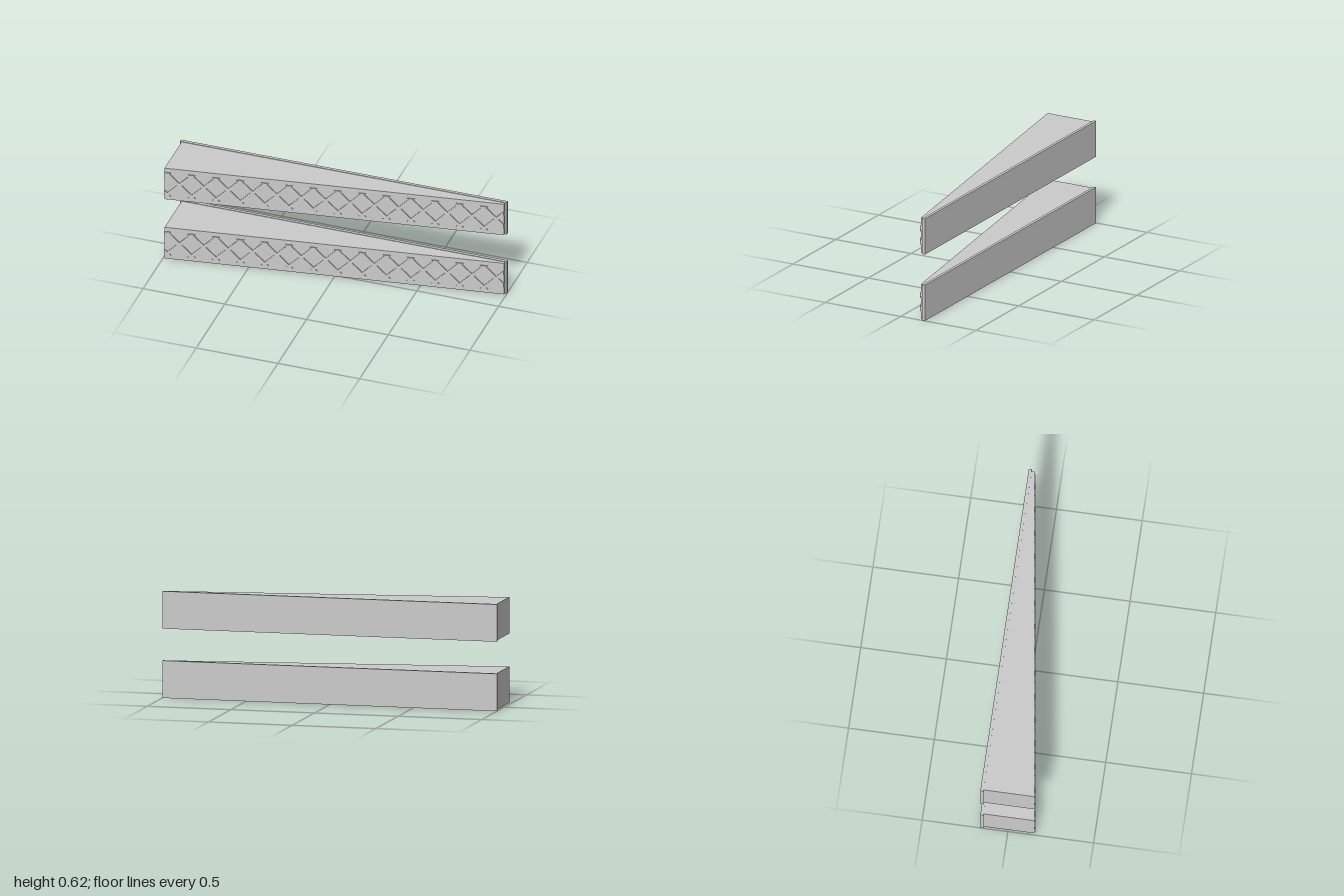
import * as THREE from 'three';

const X0 = -0.99, X1 = 0.988, Z_BACK = -0.145;
const material = new THREE.MeshStandardMaterial({ color: 0xcccccc, flatShading: true });

// Depth of the sloping front face at a given x
const frontZ = (x) => 0.155 - ((x - X0) / (X1 - X0)) * 0.282;

function add(group, name, geometry) {
  const mesh = new THREE.Mesh(geometry, material);
  mesh.name = name;
  group.add(mesh);
  return mesh;
}

// Trim a polygon to one side of the vertical line x = limit
function clipX(points, limit, side) {
  const out = [];
  points.forEach((a, i) => {
    const b = points[(i + 1) % points.length];
    const da = (a.x - limit) * side, db = (b.x - limit) * side;
    if (da >= 0) out.push(a);
    if (da * db < 0) out.push(a.clone().lerp(b, da / (da - db)));
  });
  return out;
}

// One diagonal grip rib, cut flat at top and bottom and sheared onto the slope
function ribGeometry(centre, direction) {
  const h = 0.079, w = 0.014;
  let pts = [[-h, -w], [-h, w], [h, w], [h, -w]]
    .map(([y, dx]) => new THREE.Vector2(centre + direction * y + dx, y));
  pts = clipX(clipX(pts, X0, 1), X1, -1);
  if (pts.length < 3) return null;
  const geo = new THREE.ExtrudeGeometry(new THREE.Shape(pts), { depth: 0.012, bevelEnabled: false });
  const pos = geo.attributes.position;
  for (let i = 0; i < pos.count; i++) pos.setZ(i, pos.getZ(i) - 0.006 + frontZ(pos.getX(i)));
  geo.computeVertexNormals();
  return geo;
}

function createWedge() {
  const wedge = new THREE.Group();

  // Tapered body
  const outline = new THREE.Shape([
    new THREE.Vector2(X0, -frontZ(X0)),
    new THREE.Vector2(X1, -frontZ(X1)),
    new THREE.Vector2(X1, -Z_BACK),
    new THREE.Vector2(X0, -Z_BACK),
  ]);
  const body = new THREE.ExtrudeGeometry(outline, { depth: 0.212, bevelEnabled: false });
  body.rotateX(-Math.PI / 2).translate(0, -0.106, 0);
  add(wedge, 'wedgeBody', body);

  // Slightly larger back plate
  add(wedge, 'backPlate', new THREE.BoxGeometry(2, 0.218, 0.018)).position.z = -0.152;

  // Crossed grip ribs on the sloping face
  const ribs = new THREE.Group();
  ribs.name = 'gripRibs';
  for (let k = -8; k <= 8; k++) {
    for (const direction of [-1, 1]) {
      const geo = ribGeometry(-0.05 + k * 0.142, direction);
      if (geo) add(ribs, 'gripRib', geo);
    }
  }
  wedge.add(ribs);
  return wedge;
}

export function createModel() {
  const model = new THREE.Group();
  model.name = 'wedgePair';
  [['lowerWedge', 0.109], ['upperWedge', 0.514]].forEach(([name, y]) => {
    const wedge = createWedge();
    wedge.name = name;
    wedge.position.y = y;
    model.add(wedge);
  });
  return model;
}
